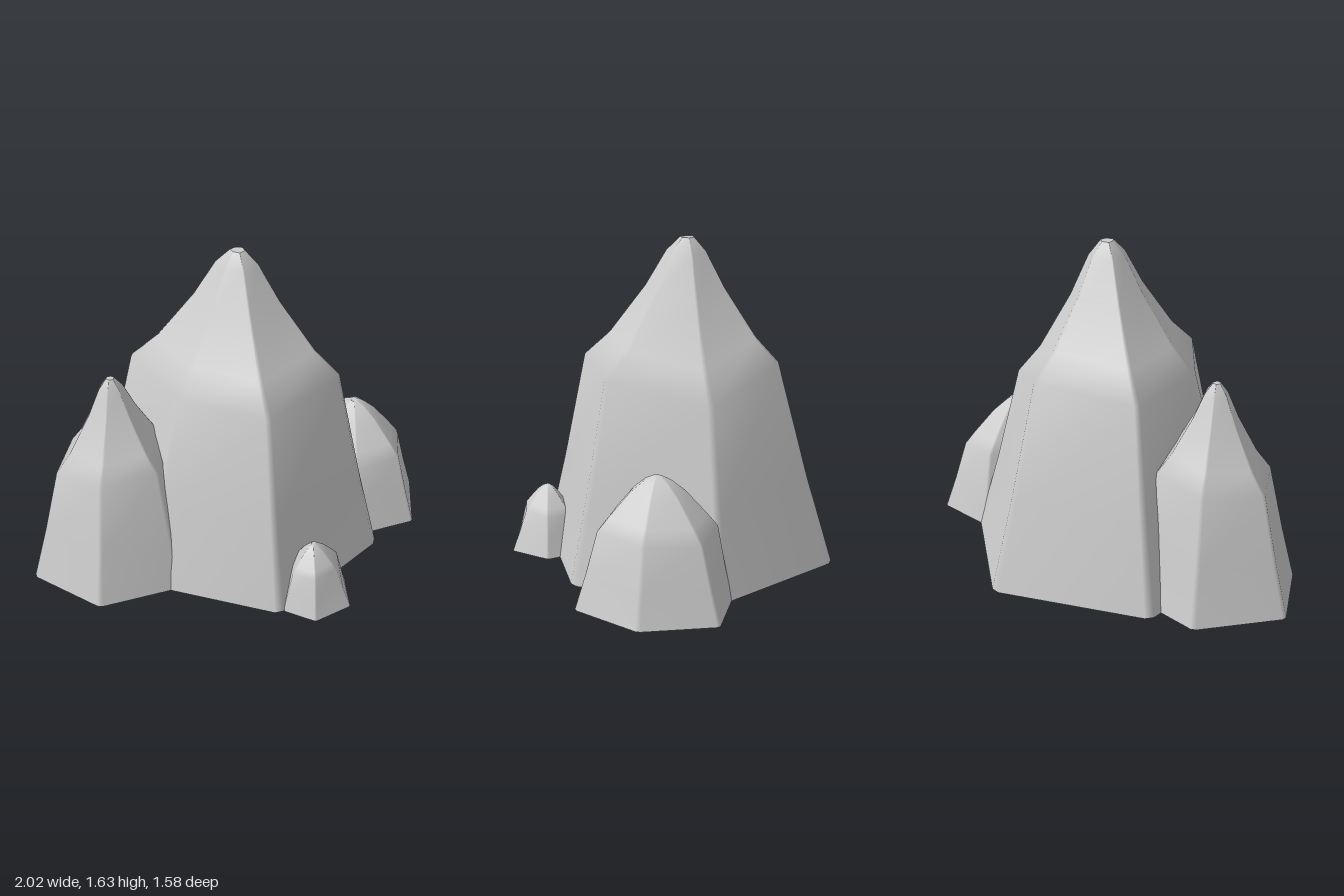
import * as THREE from 'three';

// Upper profile: [fraction of the way from shoulder to tip, fraction of shoulder width]
const SHARP = [[0.2, 0.75], [0.6, 0.4], [0.89, 0.2], [1, 0.07]];
const BLUNT = [[0.25, 0.82], [0.7, 0.47], [0.92, 0.23], [1, 0.08]];

// Corners run right, front, left, back: [x, z, shoulder height, shoulder width]
const ROCKS = [
  { name: 'mainRock', tip: [0.04, 1.635, -0.1], profile: SHARP, corners: [
    [0.77, -0.1, 0.9, 0.66], [0.4, 0.565, 1.0, 0.7], [-0.39, 0.565, 1.0, 0.71],
    [-0.68, -0.1, 1.0, 0.63], [-0.4, -0.775, 1.0, 0.7], [0.41, -0.775, 1.03, 0.61]] },
  { name: 'tallSideRock', tip: [-0.59, 1.085, -0.37], profile: SHARP, corners: [
    [-0.2, -0.16, 0.65, 0.7], [-0.57, 0.06, 0.65, 0.68], [-0.955, -0.14, 0.62, 0.66],
    [-1.01, -0.57, 0.6, 0.66], [-0.615, -0.8, 0.62, 0.68], [-0.24, -0.6, 0.65, 0.7]] },
  { name: 'lowSideRock', tip: [0.64, 0.625, 0.19], profile: BLUNT, corners: [
    [0.975, 0.36, 0.37, 0.73], [0.675, 0.6, 0.38, 0.72], [0.37, 0.45, 0.36, 0.76],
    [0.39, 0.07, 0.36, 0.75], [0.72, -0.16, 0.38, 0.8], [1.01, -0.02, 0.36, 0.72]] },
  { name: 'smallFrontRock', tip: [-0.175, 0.33, 0.59], profile: BLUNT, corners: [
    [0.045, 0.63, 0.2, 0.72], [-0.11, 0.79, 0.21, 0.6], [-0.315, 0.735, 0.21, 0.7],
    [-0.36, 0.565, 0.2, 0.7], [-0.2, 0.42, 0.2, 0.65], [0, 0.46, 0.2, 0.7]] },
];

// Splits every corner of a ring in two, giving narrow softened ridges
function softenRing(ring) {
  const n = ring.length, out = [];
  ring.forEach((p, i) => {
    out.push(p.clone().lerp(ring[(i + n - 1) % n], 0.035), p.clone().lerp(ring[(i + 1) % n], 0.035));
  });
  return out;
}

function toGeometry(points, index) {
  const g = new THREE.BufferGeometry().setFromPoints(points);
  g.setIndex(index);
  g.computeVertexNormals();
  return g;
}

function makeRock({ name, tip, profile, corners }, material) {
  const [tx, ty, tz] = tip;
  const at = (c, y, s) => new THREE.Vector3(tx + (c[0] - tx) * s, y, tz + (c[1] - tz) * s);

  // Rings from the ground, through the shoulder, to the tip
  const rings = [
    corners.map(c => at(c, 0, 1)),
    corners.map(c => at(c, c[2] * 0.45, 1 - (1 - c[3]) * 0.48)),
    corners.map(c => at(c, c[2], c[3])),
    ...profile.map(([u, k]) => corners.map(c => at(c, c[2] + (ty - c[2]) * u, c[3] * k))),
  ].map(softenRing);

  const n = rings[0].length;
  const points = rings.flat();
  const index = [];
  for (let r = 0; r < rings.length - 1; r++) {
    for (let i = 0; i < n; i++) {
      const j = (i + 1) % n;
      const a = r * n + i, b = r * n + j, c = b + n, d = a + n;
      index.push(a, d, b, b, d, c);
    }
  }
  const sides = new THREE.Mesh(toGeometry(points, index), material);
  sides.name = name + 'Sides';

  // Flat caps at the tip and under the rock
  const cap = (ring, y, up) => {
    const pts = [new THREE.Vector3(tx, y, tz), ...ring];
    const idx = [];
    for (let i = 0; i < n; i++) {
      const a = i + 1, b = (i + 1) % n + 1;
      idx.push(0, up ? b : a, up ? a : b);
    }
    return new THREE.Mesh(toGeometry(pts, idx), material);
  };
  const top = cap(rings[rings.length - 1], ty, true);
  top.name = name + 'Tip';
  const bottom = cap(rings[0], 0, false);
  bottom.name = name + 'Underside';

  const group = new THREE.Group();
  group.name = name;
  group.add(sides, top, bottom);
  return group;
}

export function createModel() {
  const material = new THREE.MeshStandardMaterial({ color: 0xcccccc });
  const model = new THREE.Group();
  model.name = 'rockCluster';
  ROCKS.forEach(rock => model.add(makeRock(rock, material)));
  return model;
}
